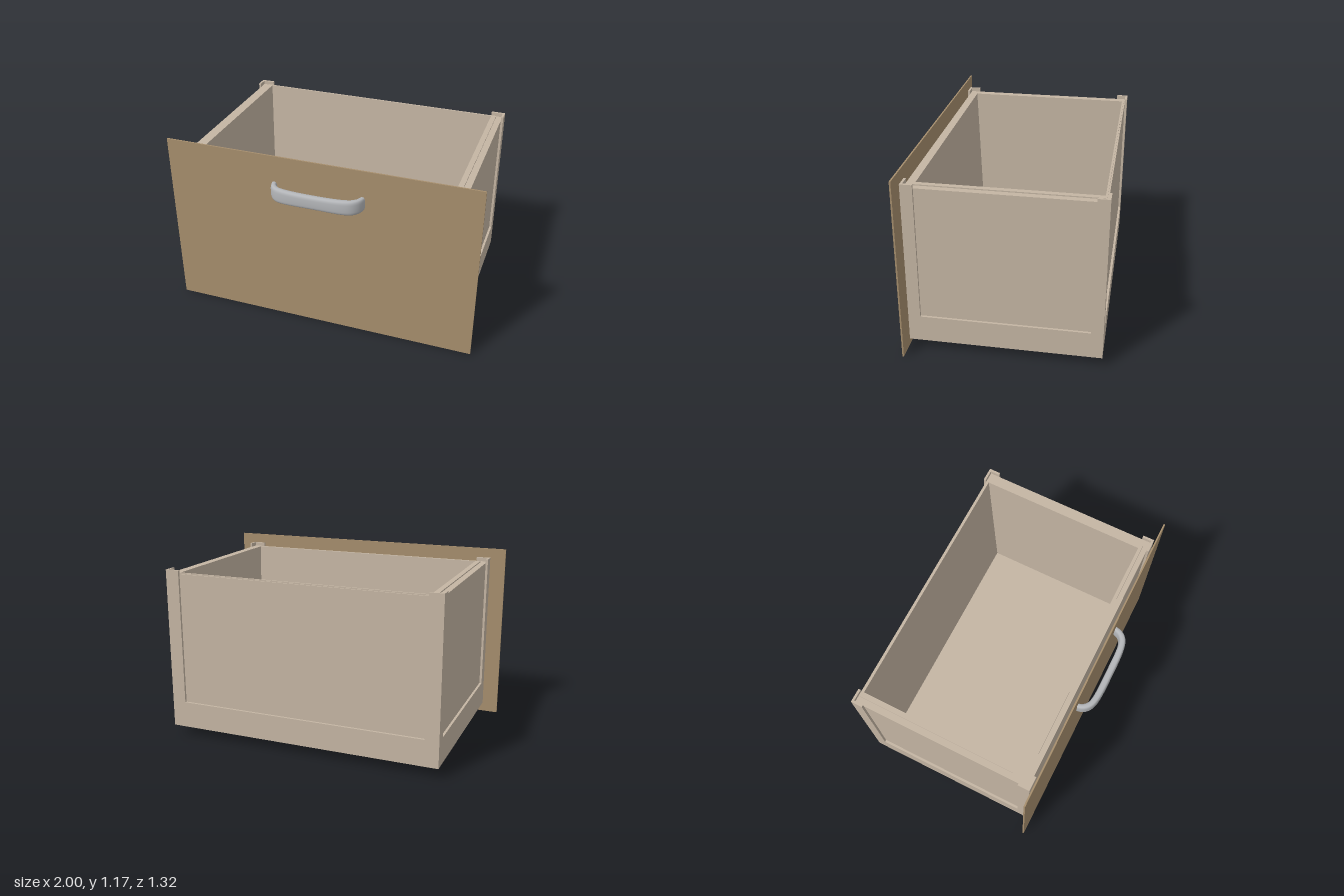
import * as THREE from 'three';

export function createModel() {
  const model = new THREE.Group();
  model.name = 'drawer';
  const mat = (name, color) => new THREE.MeshStandardMaterial({ name, color });
  const paleWood = mat('pale wood', 0xc4b5a3);
  const tanWood = mat('tan wood', 0xa68e6d);
  const metal = mat('satin metal', 0xb4b6b9);

  const add = (name, geometry, material) => {
    const mesh = new THREE.Mesh(geometry, material);
    mesh.name = name;
    model.add(mesh);
    return mesh;
  };
  // box given by its limits on each axis
  const box = (name, [x0, x1], [y0, y1], [z0, z1], material = paleWood) =>
    add(name, new THREE.BoxGeometry(x1 - x0, y1 - y0, z1 - z0), material)
      .position.set((x0 + x1) / 2, (y0 + y1) / 2, (z0 + z1) / 2);
  const shapeOf = (points) => new THREE.Shape(points.map(([a, b]) => new THREE.Vector2(a, b)));
  const extrude = (points, depth) =>
    new THREE.ExtrudeGeometry(shapeOf(points), { depth, bevelEnabled: false });
  // profile in (z, y), run along x from x0 to x1
  const alongX = (points, x0, x1) =>
    extrude(points, x1 - x0).rotateY(-Math.PI / 2).translate(x1, 0, 0);

  const X = 0.9, FRONT = 0.525, BACK = -0.66, T = 0.015;
  const BASE = 0.065, RAIL = 0.235, POST = 1.11, RIM = 1.085, LIP = 1.092;

  // raised frame: two corner strips joined by a bottom rail
  const frame = (a, b, w) => [
    [a, BASE], [b, BASE], [b, POST], [b - w, POST],
    [b - w, RAIL], [a + w, RAIL], [a + w, POST], [a, POST],
  ];
  add('leftFrame', alongX(frame(BACK, FRONT, 0.075), X - T, X), paleWood);
  add('rightFrame', alongX(frame(BACK, FRONT, 0.075), -X, -X + T), paleWood);
  const endFrame = frame(-X + T, X - T, 0.075);
  add('frontFrame', extrude(endFrame, T).translate(0, 0, FRONT - T), paleWood);
  add('backFrame', extrude(endFrame, T).translate(0, 0, BACK), paleWood);

  // side walls, each with a slightly raised inner lip
  for (const [name, s] of [['left', 1], ['right', -1]]) {
    const span = (a, b) => (s > 0 ? [a, b] : [-b, -a]);
    box(name + 'Wall', span(0.845, 0.885), [0.085, RIM], [BACK + T, FRONT - T]);
    box(name + 'Lip', span(0.812, 0.845), [0.085, LIP], [-0.63, 0.475]);
  }

  // end walls lean inwards towards the floor
  add('frontWall', alongX([
    [0.417, 0.085], [0.51, 0.085], [0.51, RIM], [0.475, RIM], [0.475, LIP], [0.454, LIP],
  ], -0.845, 0.845), paleWood);
  add('backWall', alongX([
    [-0.645, 0.085], [-0.587, 0.085], [-0.625, LIP], [-0.636, LIP], [-0.636, RIM], [-0.645, RIM],
  ], -0.845, 0.845), paleWood);

  // floor and the flange around its underside
  box('floor', [-0.885, 0.885], [0.085, 0.11], [BACK + T, FRONT - T]);
  const flange = shapeOf([[-0.885, -0.51], [0.885, -0.51], [0.885, 0.645], [-0.885, 0.645]]);
  flange.holes.push(new THREE.Path([
    [-0.81, -0.447], [-0.81, 0.582], [0.81, 0.582], [0.81, -0.447],
  ].map(([a, b]) => new THREE.Vector2(a, b))));
  add('baseFlange', new THREE.ExtrudeGeometry(flange, { depth: 0.02, bevelEnabled: false })
    .rotateX(-Math.PI / 2).translate(0, BASE, 0), paleWood);

  // thin face panel
  box('facePanel', [-1, 1], [0, 1.17], [0.537, 0.547], tanWood);

  // pull handle: rounded flat section swept along a bow
  const half = [[0.283, 0.545], [0.27, 0.583], [0.24, 0.613], [0.19, 0.628]];
  const bow = new THREE.CatmullRomCurve3([
    ...half.map(([x, z]) => new THREE.Vector3(-x, 0.955, z)),
    new THREE.Vector3(0, 0.955, 0.634),
    ...half.map(([x, z]) => new THREE.Vector3(x, 0.955, z)).reverse(),
  ]);
  const STEPS = 48, SIDES = 20, positions = [], index = [];
  const soft = (v) => Math.sign(v) * Math.abs(v) ** 0.6;
  for (let i = 0; i <= STEPS; i++) {
    const p = bow.getPointAt(i / STEPS), t = bow.getTangentAt(i / STEPS);
    const end = Math.abs(2 * i / STEPS - 1);
    const thick = 0.023 - 0.006 * end ** 3;
    const tall = 0.043 + 0.004 * Math.sin(Math.PI * Math.min(1, end * end));
    for (let j = 0; j < SIDES; j++) {
      const a = (j / SIDES) * Math.PI * 2;
      const u = thick * soft(Math.cos(a)), v = tall * soft(Math.sin(a));
      positions.push(p.x - t.z * u, p.y + v, p.z + t.x * u);
      if (i < STEPS) {
        const k = i * SIDES + j, n = i * SIDES + (j + 1) % SIDES;
        index.push(k, k + SIDES, n, n, k + SIDES, n + SIDES);
      }
    }
  }
  const bar = new THREE.BufferGeometry();
  bar.setAttribute('position', new THREE.Float32BufferAttribute(positions, 3));
  bar.setIndex(index);
  bar.computeVertexNormals();
  add('handle', bar, metal);

  return model;
}
